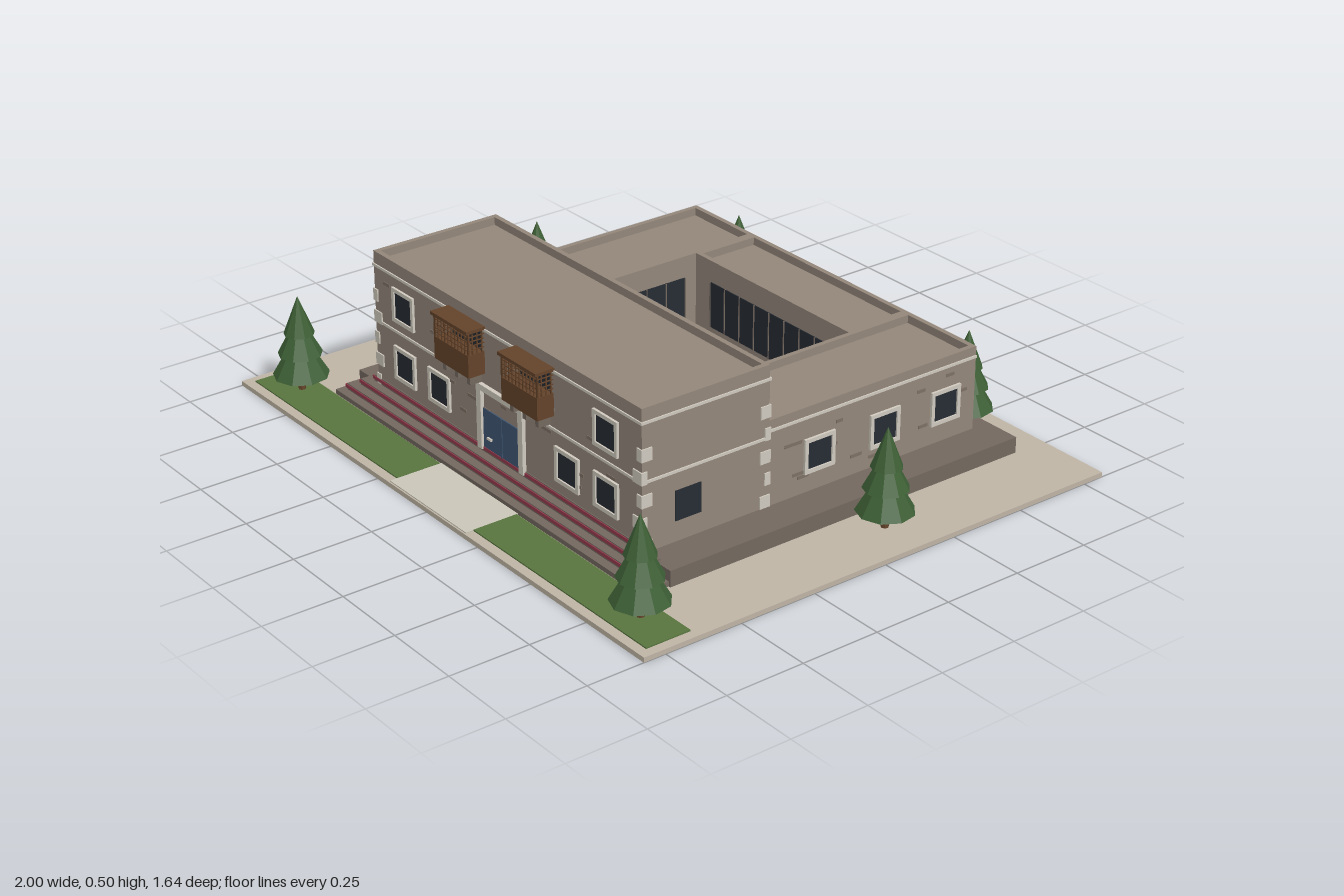
import * as THREE from 'three';

const C = {
  wall: 0x94877a, stone: 0x7d7065, plinth: 0x73685f, ground: 0xbfb5a5, trim: 0xd0cabf, glass: 0x262c33,
  wood: 0x64432a, red: 0x963a4d, lawn: 0x58753f, leaf: 0x3d5f35, water: 0x3c829a, door: 0x3f5672, path: 0xcac6b8,
};
const mats = {};
const mat = (k) => (mats[k] ??= new THREE.MeshStandardMaterial({ color: C[k], flatShading: true }));

export function createModel() {
  const model = new THREE.Group();

  function group(name, parent = model) {
    const g = new THREE.Group();
    g.name = name;
    parent.add(g);
    return g;
  }
  function add(geo, color, name, parent = model) {
    const m = new THREE.Mesh(geo, mat(color));
    m.name = name;
    parent.add(m);
    return m;
  }
  // Box given by its lower and upper bounds
  function box(x0, x1, y0, y1, z0, z1, color, name, parent) {
    const m = add(new THREE.BoxGeometry(x1 - x0, y1 - y0, z1 - z0), color, name, parent);
    m.position.set((x0 + x1) / 2, (y0 + y1) / 2, (z0 + z1) / 2);
    return m;
  }

  // Site: slab, lawns, path, plinth
  box(-1, 1, 0, 0.015, -0.82, 0.82, 'ground', 'groundSlab');
  box(-0.97, -0.19, 0.01, 0.019, 0.645, 0.79, 'lawn', 'lawnRight');
  box(0.19, 0.97, 0.01, 0.019, 0.645, 0.79, 'lawn', 'lawnLeft');
  box(-0.19, 0.19, 0.01, 0.018, 0.64, 0.815, 'path', 'entrancePath');
  box(-0.762, 0.762, 0.01, 0.065, -0.708, 0.55, 'plinth', 'plinth');

  // Front steps with red risers
  const steps = group('frontSteps');
  [[0.755, 0.64], [0.735, 0.612], [0.70, 0.584], [0.665, 0.558]].forEach(([hw, z], i) => {
    const top = 0.03 + i * 0.02;
    box(-hw, hw, 0.012, top, 0.535, z, 'plinth', 'step', steps);
    if (i) box(-hw - 0.005, hw + 0.005, top - 0.013, top - 0.003, 0.53 + (3 - i) * 0.02, z + 0.003, 'red', 'riser', steps);
  });

  // Wings: solid block up to the roof, with a parapet ring above
  function wing(x0, x1, z0, z1, top, name) {
    const g = group(name), t = 0.016, roof = top - 0.025;
    box(x0, x1, 0.06, roof, z0, z1, 'wall', 'walls', g);
    const s = new THREE.Shape([[x0, -z0], [x1, -z0], [x1, -z1], [x0, -z1]].map((p) => new THREE.Vector2(...p)));
    s.holes.push(new THREE.Path([[x0 + t, -z0 - t], [x0 + t, -z1 + t], [x1 - t, -z1 + t], [x1 - t, -z0 - t]]
      .map((p) => new THREE.Vector2(...p))));
    const parapet = add(new THREE.ExtrudeGeometry(s, { depth: top - roof, bevelEnabled: false }), 'wall', 'parapet', g);
    parapet.rotation.x = -Math.PI / 2;
    parapet.position.y = roof;
    return g;
  }
  const X = 0.645, F = 0.555, B = 0.12, R = -0.645;
  const front = wing(-X, X, B, F, 0.5, 'frontWing');
  wing(-X, -0.355, R, B, 0.33, 'rightWing');
  wing(0.355, X, R, B, 0.33, 'leftWing');
  wing(-0.355, 0.355, R, -0.415, 0.33, 'backWing');

  // Pale string courses
  for (const y of [0.28, 0.457]) {
    box(-X - 0.004, X + 0.004, y - 0.004, y + 0.004, B - 0.004, F + 0.004, 'trim', 'stringCourse', front);
  }
  for (const s of [-1, 1]) {
    const m = box(X - 0.01, X + 0.004, 0.294, 0.302, R, B, 'trim', 'sideStringCourse');
    m.position.x *= s;
  }

  // Corner quoins, alternating long and short sides
  const quoins = group('quoins');
  for (const s of [-1, 1]) for (const [zc, dir] of [[F, -1], [B, 1]]) {
    for (let i = 0; i < 5; i++) {
      const long = i % 2 === 0, y = 0.085 + i * 0.069, w = long ? 0.022 : 0.04, d = long ? 0.036 : 0.02;
      const q = add(new THREE.BoxGeometry(w, 0.038, d), 'trim', 'quoin', quoins);
      q.position.set(s * (X + 0.004 - w / 2), y, zc - dir * 0.004 + dir * d / 2);
    }
  }

  // Openings: built facing +z, then turned onto their wall
  const onWall = (g, x, y, z, turn) => { g.position.set(x, y, z); g.rotation.y = turn; return g; };
  function frame(w, h, t, d, g) {
    for (const s of [-1, 1]) {
      box(s * (w / 2 - t / 2) - t / 2, s * (w / 2 - t / 2) + t / 2, -h / 2, h / 2, -0.005, d, 'trim', 'jamb', g);
      box(-w / 2, w / 2, s * (h / 2 - t / 2) - t / 2, s * (h / 2 - t / 2) + t / 2, -0.005, d, 'trim', 'rail', g);
    }
  }
  function windowAt(x, y, z, turn, framed = true) {
    const g = onWall(group('window'), x, y, z, turn);
    box(-0.044, 0.044, -0.046, 0.046, -0.01, 0.003, 'glass', 'pane', g);
    if (framed) frame(0.11, 0.108, 0.012, 0.008, g);
  }
  // Wide glazing with slim mullions
  function glazing(w, h, n, x, y, z, turn) {
    const g = onWall(group('glazing'), x, y, z, turn);
    box(-w / 2, w / 2, -h / 2, h / 2, -0.005, 0.003, 'glass', 'pane', g);
    for (let i = 0; i <= n; i++) {
      const mx = -w / 2 + (w * i) / n;
      box(mx - 0.0015, mx + 0.0015, -h / 2, h / 2, 0, 0.006, 'plinth', 'mullion', g);
    }
  }
  const H = Math.PI / 2;
  for (const s of [-1, 1]) {
    windowAt(s * 0.49, 0.18, F, 0);
    windowAt(s * 0.312, 0.18, F, 0);
    windowAt(s * 0.49, 0.367, F, 0);
    for (const z of [-0.06, -0.3, -0.53]) windowAt(s * X, 0.178, z, s * H);
    windowAt(s * X, 0.175, 0.4, s * H, false);
    windowAt(s * 0.5, 0.178, R, Math.PI, false);
    glazing(0.44, 0.17, 6, s * 0.355, 0.175, -0.15, -s * H);
  }
  glazing(0.58, 0.17, 8, 0, 0.175, B, Math.PI);
  glazing(0.58, 0.09, 7, 0, 0.385, B, Math.PI);
  glazing(0.56, 0.15, 8, 0, 0.185, -0.415, 0);

  // Entrance
  const entrance = group('entrance');
  box(-0.092, 0.092, 0.085, 0.21, F - 0.01, F + 0.004, 'door', 'door', entrance);
  box(-0.003, 0.003, 0.085, 0.21, F, F + 0.006, 'door', 'doorSplit', entrance);
  box(-0.067, -0.047, 0.12, 0.127, F, F + 0.01, 'trim', 'doorHandle', entrance);
  for (const s of [-1, 1]) box(s * 0.101 - 0.011, s * 0.101 + 0.011, 0.08, 0.28, F, F + 0.012, 'trim', 'doorJamb', entrance);
  box(-0.112, 0.112, 0.268, 0.287, F, F + 0.013, 'trim', 'lintel', entrance);

  // Wooden lattice balconies
  for (const s of [-1, 1]) {
    const g = group('latticeBalcony');
    g.position.set(s * 0.165, 0, F);
    box(-0.085, 0.085, 0.32, 0.39, 0, 0.056, 'wood', 'lowerPanel', g);
    box(-0.09, 0.09, 0.458, 0.468, 0, 0.064, 'wood', 'canopy', g);
    box(-0.07, 0.07, 0.39, 0.458, -0.005, 0.003, 'glass', 'balconyWindow', g);
    for (const x of [-0.06, 0, 0.06]) box(x - 0.008, x + 0.008, 0.288, 0.32, 0, 0.04, 'plinth', 'bracket', g);
    for (let i = 0; i <= 10; i++) {
      const x = -0.083 + i * 0.0166, w = i % 10 ? 0.0015 : 0.004;
      box(x - w, x + w, 0.39, 0.458, 0.051, 0.055, 'wood', 'latticeBar', g);
    }
    for (const e of [-1, 1]) for (let i = 0; i < 3; i++) {
      box(e * 0.083 - 0.002, e * 0.083 + 0.002, 0.39, 0.458, 0.006 + i * 0.016, 0.009 + i * 0.016, 'wood', 'sideBar', g);
    }
    for (let i = 1; i < 5; i++) {
      const y = 0.39 + i * 0.0136;
      box(-0.083, 0.083, y - 0.0012, y + 0.0012, 0.051, 0.055, 'wood', 'latticeRail', g);
      for (const e of [-1, 1]) box(e * 0.083 - 0.002, e * 0.083 + 0.002, y - 0.0012, y + 0.0012, 0, 0.052, 'wood', 'sideRail', g);
    }
  }

  // Scattered darker stones on the outer walls
  let seed = 7;
  const rand = () => (seed = (seed * 16807) % 2147483647) / 2147483647;
  const stones = group('accentStones');
  for (let i = 0; i < 26; i++) {
    const x = (rand() - 0.5) * 1.16, y = 0.11 + rand() * 0.33, w = 0.012 + rand() * 0.012;
    box(x - w, x + w, y - 0.005, y + 0.005, F - 0.01, F + 0.002, 'stone', 'stone', stones);
  }
  for (let i = 0; i < 24; i++) {
    const s = i % 2 ? 1 : -1, z = -0.6 + rand() * 0.68, y = 0.1 + rand() * 0.17, w = 0.012 + rand() * 0.01;
    box(s * X - 0.002, s * X + 0.002, y - 0.005, y + 0.005, z - w, z + w, 'stone', 'stone', stones);
  }

  // Courtyard with pool and bushes
  const yard = group('courtyard');
  box(-0.355, 0.355, 0.05, 0.069, -0.33, B, 'ground', 'paving', yard);
  box(-0.175, 0.175, 0.06, 0.076, -0.235, 0.01, 'trim', 'poolRim', yard);
  box(-0.155, 0.155, 0.06, 0.079, -0.215, -0.01, 'water', 'poolWater', yard);
  for (const [x, z, r] of [[-0.28, -0.27, 0.08], [-0.27, -0.065, 0.08], [0.265, -0.28, 0.07], [0.27, -0.06, 0.08]]) {
    const g = group('bush', yard);
    g.position.set(x, 0.069, z);
    for (let i = 0; i < 5; i++) {
      const a = i * 1.57 + x * 9, d = i < 4 ? 0.45 * r : 0;
      const blob = add(new THREE.IcosahedronGeometry(r * (0.5 + 0.08 * (i % 2)), 1), 'leaf', 'foliage', g);
      blob.position.set(Math.cos(a) * d, r * (i < 4 ? 0.5 : 0.85), Math.sin(a) * d);
    }
  }

  // Conifers
  for (const [x, z, k] of [[-0.53, -0.725, 0.97], [0.53, -0.725, 0.97], [-0.86, -0.18, 1], [0.86, -0.12, 1],
    [-0.84, 0.705, 1], [0.835, 0.705, 1]]) {
    const g = group('conifer');
    g.position.set(x, 0.012, z);
    g.scale.setScalar(k);
    add(new THREE.CylinderGeometry(0.009, 0.012, 0.08, 7), 'wood', 'trunk', g).position.y = 0.04;
    [[0.086, 0.055, 0.15], [0.068, 0.125, 0.13], [0.047, 0.19, 0.122]].forEach(([r, y, h]) => {
      add(new THREE.ConeGeometry(r, h, 9), 'leaf', 'foliageTier', g).position.y = y + h / 2;
    });
  }
  return model;
}
